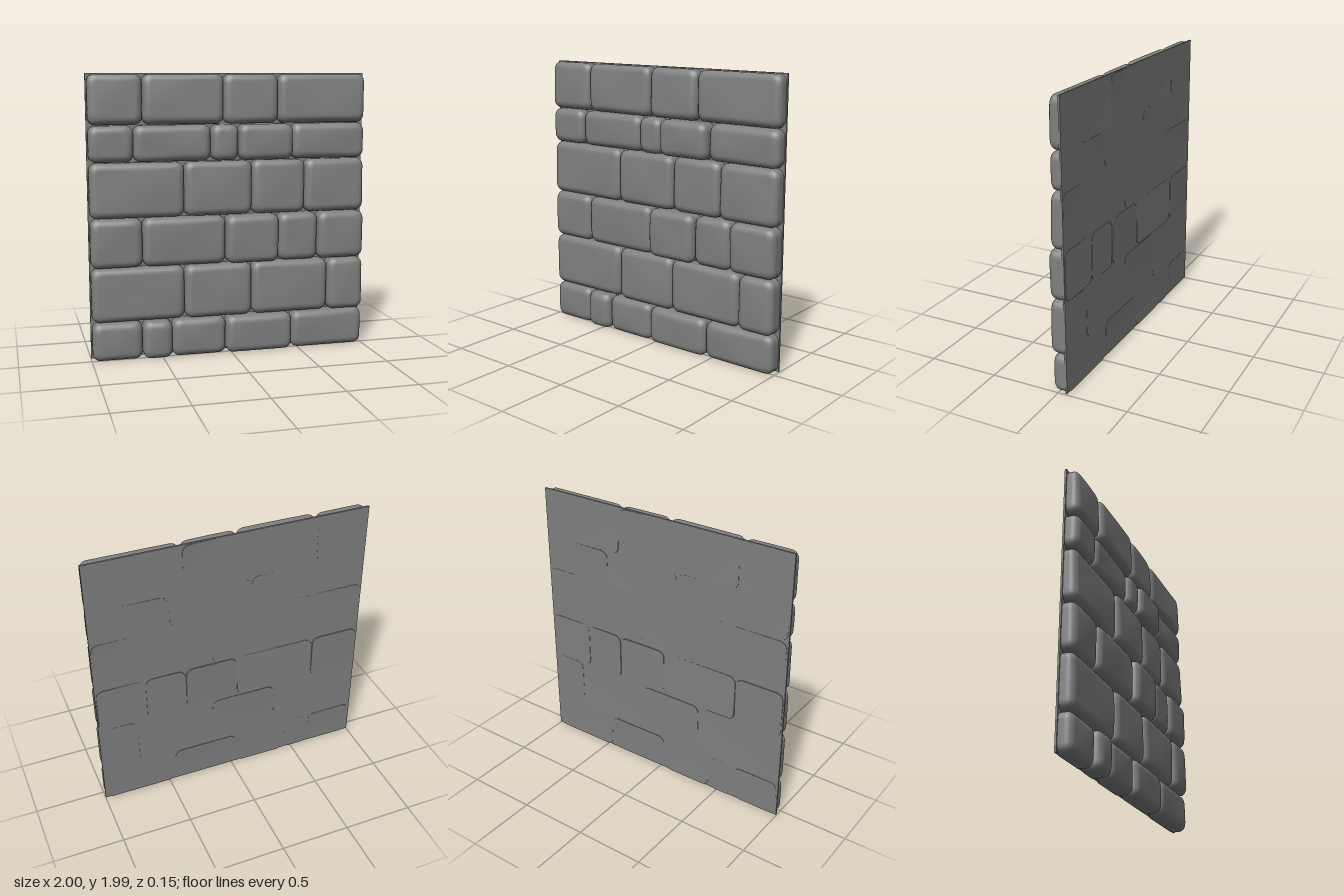
import * as THREE from 'three';

const material = new THREE.MeshStandardMaterial({ color: 0x808080 });
const gap = 0.004;

// Courses from bottom to top: top edge, back z, backward lean, upright joints, front z of each stone
const courses = [
  { top: 0.28, back: -0.066, lean: 0, joints: [-0.64, -0.43, -0.04, 0.452], fronts: [0.04, 0.066, 0.05, 0.062, 0.052] },
  { top: 0.664, back: -0.066, lean: 0.004, joints: [-0.336, 0.153, 0.722], fronts: [0.04, 0.048, 0.055, 0.064] },
  { top: 1.01, back: -0.07, lean: 0, joints: [-0.63, -0.04, 0.348, 0.643], fronts: [0.04, 0.048, 0.073, 0.052, 0.064] },
  { top: 1.395, back: -0.064, lean: 0.005, joints: [-0.334, 0.153, 0.546], fronts: [0.038, 0.048, 0.042, 0.045] },
  { top: 1.65, back: -0.064, lean: 0, joints: [-0.685, -0.142, 0.053, 0.449], fronts: [0.04, 0.036, 0.05, 0.07, 0.036] },
  { top: 1.997, back: -0.064, lean: 0.008, joints: [-0.62, -0.052, 0.345], fronts: [0.036, 0.044, 0.038, 0.034] },
];

// Closed rounded rectangle, counter-clockwise, with the straight sides subdivided
function roundedRing(hx, hy, r) {
  const arcs = [-90, 0, 90, 180].map((start) => {
    const mid = THREE.MathUtils.degToRad(start + 45);
    const cx = Math.sign(Math.cos(mid)) * (hx - r), cy = Math.sign(Math.sin(mid)) * (hy - r);
    const pts = [];
    for (let i = 0; i <= 5; i++) {
      const a = THREE.MathUtils.degToRad(start + i * 18);
      pts.push(new THREE.Vector2(cx + r * Math.cos(a), cy + r * Math.sin(a)));
    }
    return pts;
  });
  return arcs.flatMap((arc, i) => {
    const next = arcs[(i + 1) % 4][0];
    const side = [];
    for (let k = 1; k < 12; k++) side.push(arc[5].clone().lerp(next, k / 12));
    return [...arc, ...side];
  });
}

// A pillow-shaped stone lofted through rings from its flat back to its worn front
function stoneGeometry(width, height, back, front, lean, seed) {
  const hx = width / 2, hy = height / 2;
  const dome = 0.01, edge = 0.052, roll = 0.052;
  const rings = [];
  // worn = 0 follows the slightly skewed back, worn = 1 the domed and leaning front
  const addRing = (inset, z, scale, worn) => {
    const ring = roundedRing(hx - inset, hy - inset, Math.max(0.052 - inset * 0.5, 0.02));
    rings.push(ring.map((p) => {
      const x = p.x * scale, y = p.y * scale, u = x / hx, v = y / hy;
      const wave = 0.003 * Math.sin(u * 2.6 + seed * 1.9) * Math.cos(v * 2.2 + seed);
      const face = wave - lean * v - dome * (u * u + v * v) / 2;
      const skew = 0.003 * (u * Math.sin(seed * 3.1) + v * Math.cos(seed * 2.3));
      return [x, y, z + worn * face + (1 - worn) * skew];
    }));
  };
  addRing(0.003, back, 0.0001, 0);
  addRing(0.003, back, 1, 0);
  addRing(0.003, back, 1, 0);
  addRing(0, back + 0.012, 1, 0);
  for (let i = 0; i <= 8; i++) {
    const a = (i / 8) * Math.PI / 2;
    addRing(edge * (1 - Math.cos(a)), front - roll * (1 - Math.sin(a)), 1, i / 8);
  }
  for (let i = 1; i <= 7; i++) addRing(edge, front, Math.max(1 - i / 7, 0.0001), 1);

  const n = rings[0].length, index = [];
  for (let r = 0; r < rings.length - 1; r++) {
    if (r === 1) continue; // doubled rim keeps the back edge sharp
    for (let i = 0; i < n; i++) {
      const j = (i + 1) % n;
      const a = r * n + i, b = r * n + j, c = a + n, d = b + n;
      index.push(a, b, d, a, d, c);
    }
  }
  const geometry = new THREE.BufferGeometry();
  geometry.setAttribute('position', new THREE.Float32BufferAttribute(rings.flat(2), 3));
  geometry.setIndex(index);
  geometry.computeVertexNormals();
  return geometry;
}

export function createModel() {
  const wall = new THREE.Group();
  wall.name = 'stoneWall';

  // Thin mortar sheet behind the stones
  const mortar = new THREE.Mesh(new THREE.BoxGeometry(2, 1.985, 0.013), material);
  mortar.name = 'mortarBacking';
  mortar.position.set(0, 1.0075, -0.0595);
  wall.add(mortar);

  // Stone courses, each resting on the one below
  let seed = 1, bottom = 0.006;
  courses.forEach(({ top, back, lean, joints, fronts }, row) => {
    const course = new THREE.Group();
    course.name = `course${row + 1}`;
    const edges = [-0.994, ...joints, 0.996];
    fronts.forEach((front, i) => {
      const width = edges[i + 1] - edges[i] - gap, height = top - bottom - gap;
      const stone = new THREE.Mesh(stoneGeometry(width, height, back, front, lean, seed++), material);
      stone.name = `stone${i + 1}`;
      stone.position.set((edges[i] + edges[i + 1]) / 2, (bottom + top) / 2, 0);
      course.add(stone);
    });
    wall.add(course);
    bottom = top;
  });
  return wall;
}
